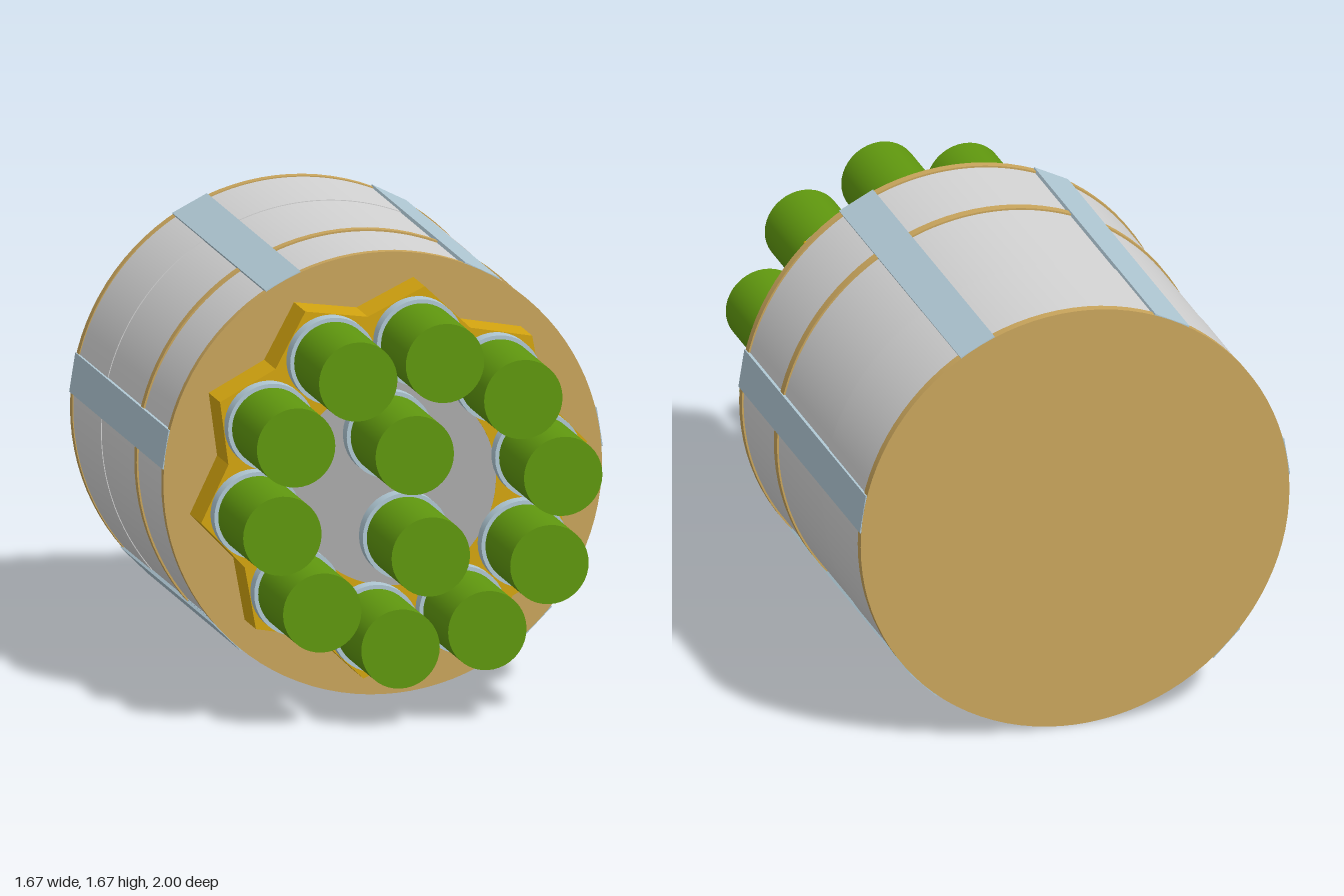
import * as THREE from 'three';
import { toCreasedNormals } from 'three/addons/utils/BufferGeometryUtils.js';

const CY = 0.833; // height of the long axis
const rad = THREE.MathUtils.degToRad;
const mat = (name, color) => Object.assign(new THREE.MeshStandardMaterial({ color }), { name });

export function createModel() {
  const tan = mat('tan', 0xc9a55c);
  const grey = mat('lightGrey', 0xd4d4d4);
  const plateGrey = mat('plateGrey', 0xababab);
  const blue = mat('paleBlue', 0xb0c8d4);
  const gold = mat('gold', 0xd4a510);
  const green = mat('green', 0x60980f);

  const model = new THREE.Group();
  model.name = 'clusteredTubeDrum';
  const body = new THREE.Group();
  body.name = 'body';
  body.position.y = CY;
  model.add(body);

  const add = (name, geometry, material) => {
    const mesh = new THREE.Mesh(geometry, material);
    mesh.name = name;
    body.add(mesh);
    return mesh;
  };
  // Cylinder lying along z, between z0 and z1
  const rod = (name, material, r, z0, z1, x = 0, y = 0, sides = 40) => {
    const g = new THREE.CylinderGeometry(r, r, z1 - z0, sides).rotateX(Math.PI / 2);
    return add(name, g.translate(x, y, (z0 + z1) / 2), material);
  };
  // Flat shape pulled along z, between z0 and z1
  const pull = (name, material, shape, z0, z1) => {
    const g = new THREE.ExtrudeGeometry(shape, { depth: z1 - z0, bevelEnabled: false, curveSegments: 80 });
    return add(name, toCreasedNormals(g.translate(0, 0, z0), rad(25)), material);
  };
  const polygon = (pts) => new THREE.Shape(pts.map(([x, y]) => new THREE.Vector2(x, y)));
  const arcBand = (r0, r1, a0, a1) => {
    const s = new THREE.Shape();
    s.absarc(0, 0, r1, rad(a0), rad(a1), false);
    s.absarc(0, 0, r0, rad(a1), rad(a0), true);
    s.closePath();
    return s;
  };

  // Three round bulkheads
  rod('frontBulkhead', tan, 0.833, 0.368, 0.4, 0, 0, 96);
  rod('middleBulkhead', tan, 0.833, -0.036, 0, 0, 0, 96);
  rod('rearBulkhead', tan, 0.833, -1, -0.965, 0, 0, 96);

  // Curved skin, open along the bottom behind the middle bulkhead
  pull('frontSkin', grey, arcBand(0.808, 0.826, -45, 225), 0, 0.368);
  pull('middleSkin', grey, arcBand(0.808, 0.826, -68, 248), -0.55, -0.036);
  pull('rearSkin', grey, arcBand(0.808, 0.829, -68, 248), -0.965, -0.55);

  // Flat-sided belly pan closing the bottom of the front bay
  const outer = [[-0.64, -0.527], [-0.535, -0.632], [-0.3, -0.763], [0.3, -0.763], [0.535, -0.632], [0.64, -0.527]];
  const inner = outer.map(([x, y]) => [x * 0.97, y * 0.97]).reverse();
  pull('bellyPan', blue, polygon([...outer, ...inner]), 0, 0.368);

  // Six straight stringers, 54 degrees apart
  for (let i = 0; i < 6; i++) {
    const strip = pull('stringer', blue, polygon([
      [0.835, -0.074], [0.835, 0.074], [0.805, 0.074], [0.785, 0.04], [0.785, -0.04], [0.805, -0.074],
    ]), -0.999, 0.399);
    strip.rotation.z = rad(-45 + 54 * i);
  }

  // Ten-pointed mounting ring around a grey centre plate
  const star = [];
  for (let i = 0; i < 20; i++) {
    const r = i % 2 ? 0.637 : 0.742;
    const a = rad(9 + 18 * i);
    star.push([r * Math.cos(a), r * Math.sin(a)]);
  }
  const ring = polygon(star);
  const hole = new THREE.Path();
  hole.absarc(0, 0, 0.387, 0, Math.PI * 2, true);
  ring.holes.push(hole);
  pull('starRing', gold, ring, 0.4, 0.57);
  rod('centrePlate', plateGrey, 0.387, 0.4, 0.57, 0, 0, 80);

  // Tubes with collars: ten around the ring, two in the middle
  const tube = (r, degrees) => {
    const x = r * Math.cos(rad(degrees)), y = r * Math.sin(rad(degrees));
    rod('tubeCollar', blue, 0.164, 0.57, 0.628, x, y);
    rod('tube', green, 0.149, 0.628, 1, x, y);
  };
  for (let i = 0; i < 10; i++) tube(0.54, 9 + 36 * i);
  tube(0.195, 99);
  tube(0.195, 279);

  return model;
}
